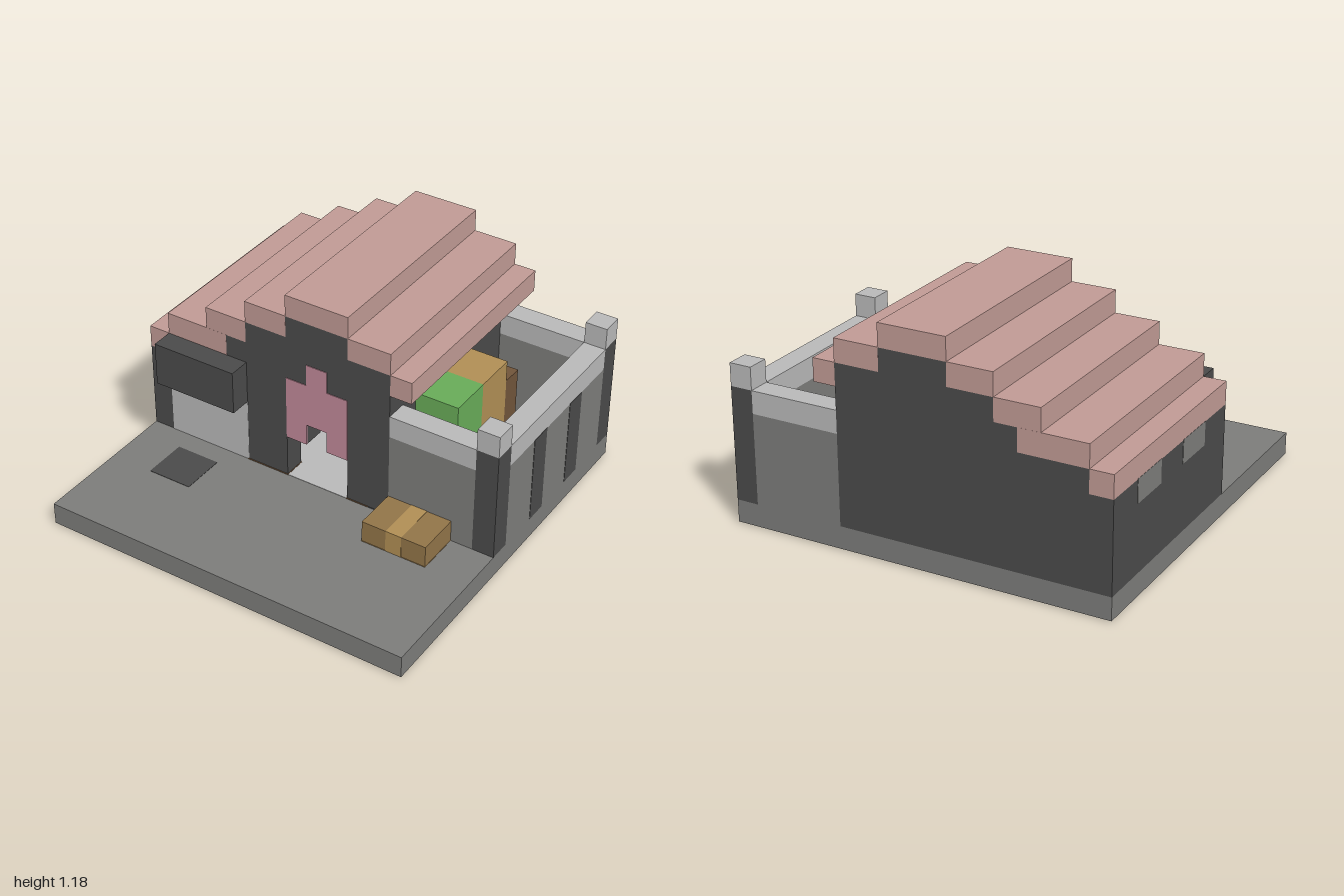
import * as THREE from 'three';

const U = 2 / 17; // one block
const colours = {
  stone: 0x7c7c7a, paleStone: 0xb8b8b8, charcoal: 0x4a4a4a, roofPink: 0xc09a94, doorPink: 0xc08898,
  darkWood: 0x70543a, wood: 0x917448, paleWood: 0xb08e54, leafGreen: 0x68ab58,
};

export function createModel() {
  const model = new THREE.Group();
  const mats = {};
  for (const [name, color] of Object.entries(colours)) {
    mats[name] = new THREE.MeshStandardMaterial({ color });
    mats[name].name = name;
  }

  // Box between block coordinates: x and z run 0..17, y runs up from 0; e swells it slightly
  function block(name, mat, x0, x1, y0, y1, z0, z1, e = 0) {
    const g = new THREE.BoxGeometry((x1 - x0) * U + 2 * e, (y1 - y0) * U + 2 * e, (z1 - z0) * U + 2 * e);
    const m = new THREE.Mesh(g, mats[mat]);
    m.name = name;
    m.position.set(((x0 + x1) / 2 - 8.5) * U, ((y0 + y1) / 2) * U, ((z0 + z1) / 2 - 8.5) * U);
    model.add(m);
  }

  // Upright slab cut from an outline in block coordinates
  function slab(name, mat, points, z0, depth) {
    const pts = points.map(([x, y]) => new THREE.Vector2((x - 8.5) * U, y * U));
    const g = new THREE.ExtrudeGeometry(new THREE.Shape(pts), { depth: depth * U, bevelEnabled: false });
    const m = new THREE.Mesh(g, mats[mat]);
    m.name = name;
    m.position.z = (z0 - 8.5) * U;
    model.add(m);
  }

  // Ground with inlaid blocks
  block('ground', 'stone', 0, 17, 0, 1, 0, 17);
  block('houseFloor', 'paleStone', 1, 11, 0, 1, 1, 10, 0.002);
  block('pavingPatch', 'charcoal', 2, 4, 0, 1, 11, 13, 0.002);
  block('crateFooting', 'wood', 12, 15, 0, 1, 10, 12, 0.002);
  block('wallFooting', 'charcoal', 11, 12, 0, 1, 3, 10, 0.003);
  block('floorBeam', 'darkWood', 5, 6, 0, 1, 3, 10, 0.004);
  for (const [x, z] of [[5, 1], [11, 1], [10, 9], [6, 9]])
    block('floorPeg', 'darkWood', x, x + 1, 0, 1, z, z + 1, 0.004);

  // House walls: stepped gables front and back
  const gable = [[12, 1], [12, 8], [10, 8], [10, 9], [7, 9], [7, 8], [5, 8], [5, 7], [4, 7], [4, 6], [1, 6], [1, 5], [0, 5], [0, 1]];
  const doorway = [[7, 1], [7, 3], [8, 3], [8, 4], [9, 4], [9, 3], [10, 3], [10, 1]];
  slab('backWall', 'charcoal', gable, 0, 1);
  slab('frontWall', 'charcoal', [...gable, ...doorway], 9, 1);
  block('leftSideWall', 'charcoal', 0, 1, 1, 5, 1, 9);
  block('dividingWall', 'charcoal', 11, 12, 1, 8, 1, 9);
  for (const z of [2, 6]) block('sideWindow', 'stone', 0, 0.5, 4, 5, z, z + 2, 0.002);
  block('shopWindow', 'paleStone', 1, 5, 1, 4, 9.9, 10, 0.002);
  block('signBoard', 'charcoal', 1, 5, 4, 6, 10, 11);

  // Pink surround over the door
  slab('doorSurround', 'doorPink',
    [[7, 3], [8, 3], [8, 4], [9, 4], [9, 3], [10, 3], [10, 6], [9, 6], [9, 7], [8, 7], [8, 6], [7, 6]], 9.97, 0.06);

  // Stepped roof: [x0, x1, y]
  for (const [x0, x1, y] of [[0, 1, 5], [1, 4, 6], [3, 5, 7], [5, 7, 8], [7, 10, 9], [10, 12, 8], [12, 13, 7]])
    block('roofStep', 'roofPink', x0, x1, y, y + 1, 0, 10, y === 7 ? 0 : 0.0005);

  // Wooden hearth at the back of the room
  for (const x of [7, 9]) block('hearthSide', 'darkWood', x, x + 1, 1, 3, 1, 2);
  block('hearthTop', 'darkWood', 8, 9, 3, 4, 1, 2);
  block('hearthBack', 'stone', 8, 9, 2, 3, 1, 1.5);
  block('hearthStep', 'darkWood', 8, 9, 1, 2, 1, 3);

  // Yard walls with pale coping
  for (const [x0, x1, z0, z1] of [[12, 16, 0, 1], [12, 16, 9, 10], [16, 17, 1, 9]]) {
    block('yardWall', 'stone', x0, x1, 1, 5, z0, z1);
    block('yardCoping', 'paleStone', x0, x1, 5, 6, z0, z1);
  }
  for (const z of [0, 9]) {
    block('cornerPost', 'charcoal', 16, 17, 1, 6, z, z + 1);
    block('postCap', 'paleStone', 16, 17, 6, 7, z, z + 1);
  }
  for (const z of [3, 6]) block('wallStripe', 'charcoal', 16.5, 17, 1, 5, z, z + 1, 0.002);

  // Yard stall and stacked boxes
  for (const z of [3, 8]) block('stallEnd', 'darkWood', 12, 14, 1, 5, z, z + 1);
  block('stallWood', 'paleWood', 12, 14, 1, 6, 4, 6);
  block('stallGreens', 'leafGreen', 12, 14, 1, 6, 6, 8);
  for (const [corner, side] of [[1, 2], [8, 7]]) {
    block('tallBox', 'wood', 15, 16, 1, 3, corner, corner + 1);
    block('lowBox', 'wood', 14, 15, 1, 2, corner, corner + 1);
    block('lowBox', 'wood', 15, 16, 1, 2, side, side + 1);
  }

  // Crate by the door with a pale band
  block('crate', 'wood', 12, 15, 1, 2, 10, 12);
  block('crateBand', 'paleWood', 13.15, 13.85, 1, 2, 10, 12, 0.002);

  return model;
}
